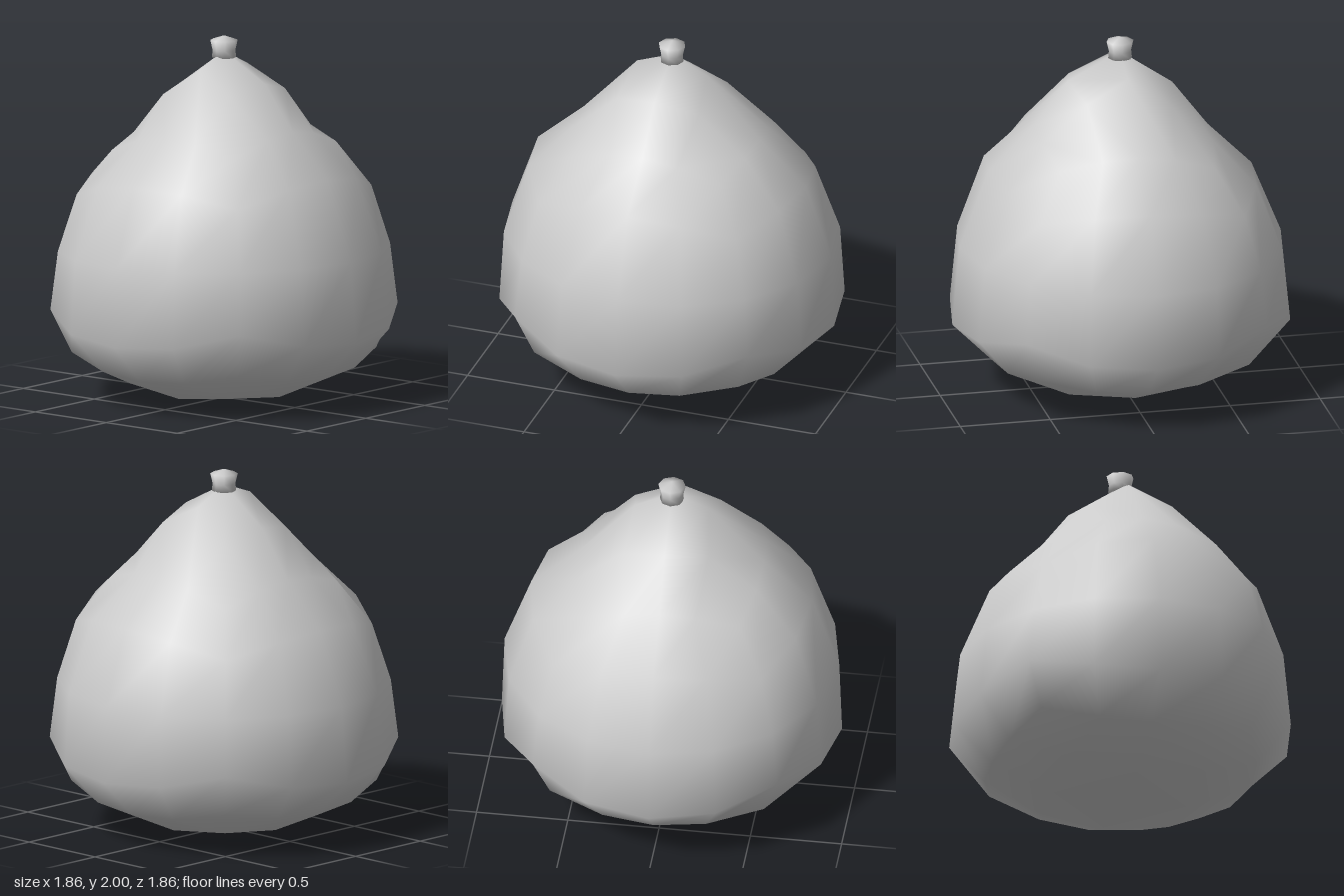
import * as THREE from 'three';
import { mergeVertices } from 'three/addons/utils/BufferGeometryUtils.js';

// Drop per-face data, weld the seams and shade smoothly.
function smooth(geo) {
  geo.deleteAttribute('normal');
  geo.deleteAttribute('uv');
  const welded = mergeVertices(geo, 1e-4);
  welded.computeVertexNormals();
  return welded;
}

const spline = (points) => new THREE.SplineCurve(points.map(([x, y]) => new THREE.Vector2(x, y)));

// Pear outline [radius, height], evenly spaced by angle from the bottom to the top
const outline = spline([
  [0, 0.005], [0.39, 0.05], [0.715, 0.19], [0.932, 0.405], [0.905, 0.832],
  [0.75, 1.25], [0.495, 1.49], [0.245, 1.785], [0, 1.915],
]);
// Unevenness along the same steps: [oval, tilt]
const unevenness = spline([
  [0, 0], [0, 0], [0, 0], [0, 0.1], [-0.012, 0.5],
  [-0.02, 1], [-0.01, 0.9], [0.045, 0.7], [0, 0],
]);

// Cube subdivided four ways, rounded to a ball, then shaped by the outline
function bodyGeometry() {
  const geo = new THREE.BoxGeometry(2, 2, 2, 4, 4, 4);
  const p = geo.attributes.position;
  const v = new THREE.Vector3();
  const bend = (c) => Math.tan(c * Math.PI / 4);
  for (let i = 0; i < p.count; i++) {
    v.fromBufferAttribute(p, i);
    v.set(bend(v.x), bend(v.y), bend(v.z)).normalize();
    const a = Math.atan2(v.x, v.z);
    const t = Math.acos(THREE.MathUtils.clamp(-v.y, -1, 1)) / Math.PI;
    const { x: r, y } = outline.getPoint(t);
    const { x: oval, y: tilt } = unevenness.getPoint(t);
    const radius = r + oval * Math.cos(2 * a);
    // the shoulders sit a little higher at the front and on one side
    const lift = tilt * (0.035 * Math.cos(a) - 0.015 * Math.sin(a));
    const sag = Math.max(oval, 0) * Math.cos(2 * a);
    p.setXYZ(i, radius * Math.sin(a), y + lift - sag, radius * Math.cos(a));
  }
  return smooth(geo);
}

// Short flared stem with a slightly domed top
function stemGeometry() {
  const profile = [[0, 1.86], [0.066, 1.88], [0.062, 1.92], [0.075, 1.975], [0, 2]];
  return smooth(new THREE.LatheGeometry(profile.map(([r, y]) => new THREE.Vector2(r, y)), 8));
}

export function createModel() {
  const group = new THREE.Group();
  const material = new THREE.MeshStandardMaterial({ color: 0xcccccc });
  for (const [name, geo] of [['body', bodyGeometry()], ['stem', stemGeometry()]]) {
    const mesh = new THREE.Mesh(geo, material);
    mesh.name = name;
    group.add(mesh);
  }
  return group;
}
